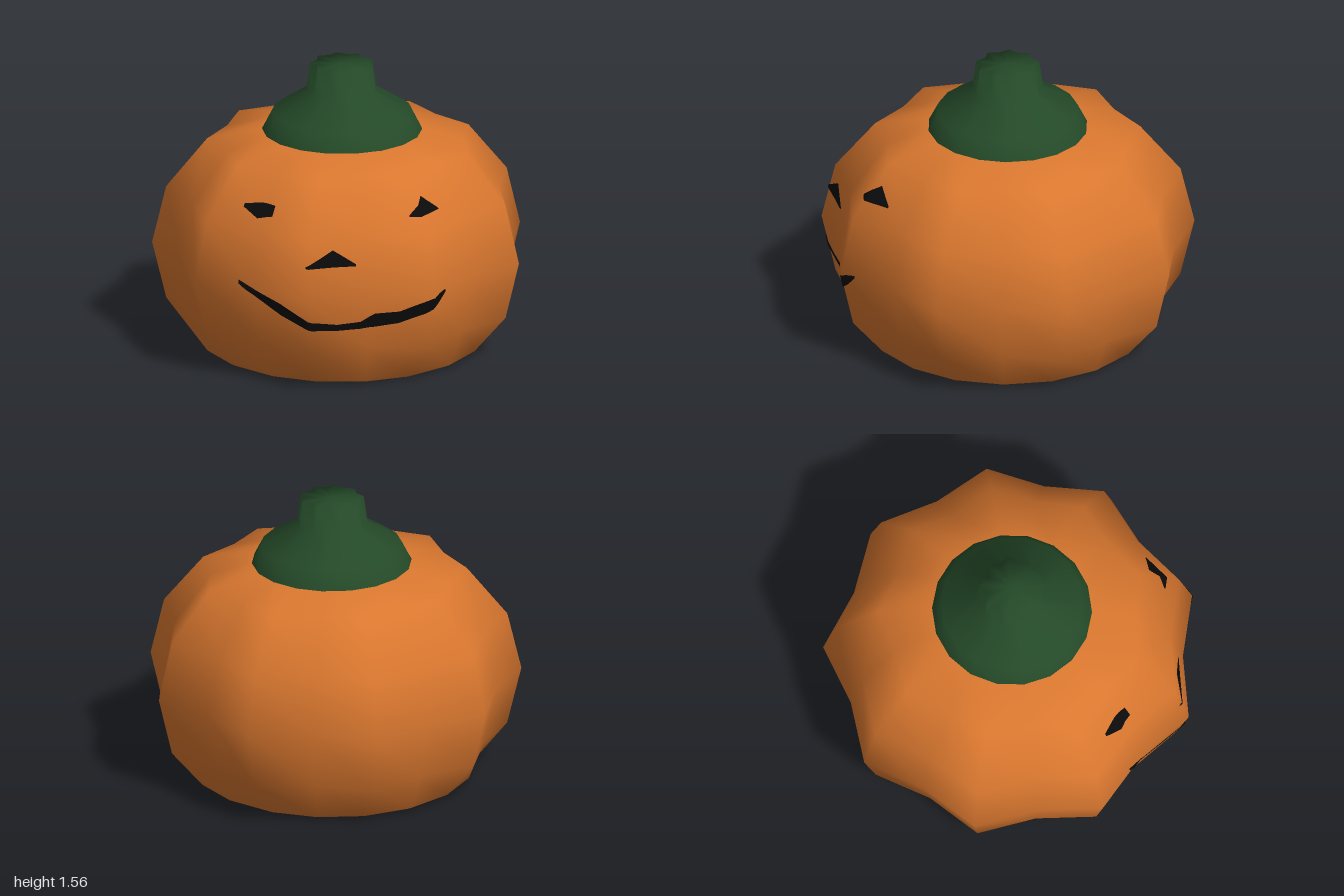
import * as THREE from 'three';

const SIDES = 18;          // nine lobes: a ridge and a groove each
const CX = 0.025;          // the lobed body's axis in x
const STEP = Math.PI * 2 / SIDES;
const rad = THREE.MathUtils.degToRad;

// rings, bottom to top: [y, ridge radius, groove radius]
const BODY = [
  [0, 0.72, 0.72], [0.02, 0.76, 0.76], [0.23, 0.937, 0.843], [0.545, 1.013, 0.912],
  [0.86, 0.938, 0.845], [1.13, 0.72, 0.65], [1.19, 0.425, 0.425],
];
const UNDERSIDE = [[0.19, 0, 0], [0.15, 0.36, 0.36], [0.06, 0.62, 0.62], [0, 0.72, 0.72]];
const STEM = [
  [1.185, 0.43, 0.43], [1.29, 0.377, 0.377], [1.41, 0.192, 0.17],
  [1.56, 0.172, 0.142], [1.555, 0, 0],
];

// face plates as columns: [angle in degrees, lower y, upper y]
const FACE = {
  leftEye: [[90, 0.95, 0.957], [97, 0.95, 1.035], [104, 0.95, 0.957]],
  rightEye: [[157, 0.935, 0.985], [163, 0.915, 0.99], [170, 0.96, 0.975]],
  nose: [[124.5, 0.715, 0.725], [132.5, 0.72, 0.81], [141, 0.72, 0.73]],
  mouth: [
    [95, 0.545, 0.56], [98, 0.49, 0.55], [102, 0.44, 0.515], [110, 0.385, 0.455],
    [118, 0.365, 0.445], [123, 0.358, 0.4], [131, 0.358, 0.395], [139, 0.37, 0.42],
    [150, 0.43, 0.5], [160, 0.51, 0.55], [166, 0.57, 0.59],
  ],
};

// smooth surface from rows of points; closed rows wrap round
function gridGeometry(rows, closed) {
  const n = rows[0].length, index = [];
  for (let r = 0; r < rows.length - 1; r++) {
    for (let i = 0; i < (closed ? n : n - 1); i++) {
      const j = (i + 1) % n, lo = r * n, hi = lo + n;
      index.push(lo + i, hi + i, hi + j, lo + i, hi + j, lo + j);
    }
  }
  const geo = new THREE.BufferGeometry().setFromPoints(rows.flat());
  geo.setIndex(index);
  geo.computeVertexNormals();
  return geo;
}

const polar = (r, a, y, cx = CX) => new THREE.Vector3(cx + r * Math.cos(a), y, r * Math.sin(a));

function lobedGeometry(profile, cx = CX) {
  const rows = profile.map(([y, ridge, groove]) =>
    Array.from({ length: SIDES }, (_, i) => polar(i % 2 ? ridge : groove, i * STEP, y, cx)));
  return gridGeometry(rows, true);
}

// radius of the faceted body at an angle and height
function bodyRadius(a, y) {
  const k = BODY.findIndex((ring, i) => i > 0 && y <= ring[0]);
  const t = (y - BODY[k - 1][0]) / (BODY[k][0] - BODY[k - 1][0]);
  const ridge = THREE.MathUtils.lerp(BODY[k - 1][1], BODY[k][1], t);
  const groove = THREE.MathUtils.lerp(BODY[k - 1][2], BODY[k][2], t);
  const i = Math.floor(a / STEP), u = a - i * STEP;
  const r0 = i % 2 ? ridge : groove, r1 = i % 2 ? groove : ridge;
  return r0 * r1 * Math.sin(STEP) / (r0 * Math.sin(u) + r1 * Math.sin(STEP - u));
}

// thin plate that follows the body's surface
function plateGeometry(columns) {
  const ROWS = 4, rows = Array.from({ length: ROWS + 1 }, () => []);
  const first = columns[0][0], last = columns[columns.length - 1][0];
  for (let deg = first; deg <= last; deg += 0.5) {
    const k = Math.max(1, columns.findIndex((c) => deg <= c[0]));
    const [a0, lo0, hi0] = columns[k - 1], [a1, lo1, hi1] = columns[k];
    const t = (deg - a0) / (a1 - a0);
    const lo = THREE.MathUtils.lerp(lo0, lo1, t), hi = THREE.MathUtils.lerp(hi0, hi1, t);
    rows.forEach((row, r) => {
      const y = THREE.MathUtils.lerp(lo, hi, r / ROWS), a = rad(deg);
      row.push(polar(bodyRadius(a, y) + 0.007, a, y));
    });
  }
  return gridGeometry(rows, false);
}

export function createModel() {
  const material = (name, color, extra = {}) => {
    const m = new THREE.MeshStandardMaterial({ color, ...extra });
    m.name = name;
    return m;
  };
  const orange = material('orange skin', 0xd9772f);
  const green = material('dark green', 0x244928);
  const black = material('black', 0x0b0b0b, { side: THREE.DoubleSide });

  const model = new THREE.Group();
  model.name = 'pumpkin';
  const add = (name, geo, mat, parent = model) => {
    const mesh = new THREE.Mesh(geo, mat);
    mesh.name = name;
    parent.add(mesh);
  };

  // lobed body with a hollowed underside
  add('body', lobedGeometry(BODY), orange);
  add('underside', lobedGeometry(UNDERSIDE), orange);

  // flared stem, ribbed towards its tip
  add('stem', lobedGeometry(STEM, 0.03), green);

  // face on the front right of the body
  const face = new THREE.Group();
  face.name = 'face';
  for (const [name, columns] of Object.entries(FACE)) add(name, plateGeometry(columns), black, face);
  model.add(face);

  return model;
}
